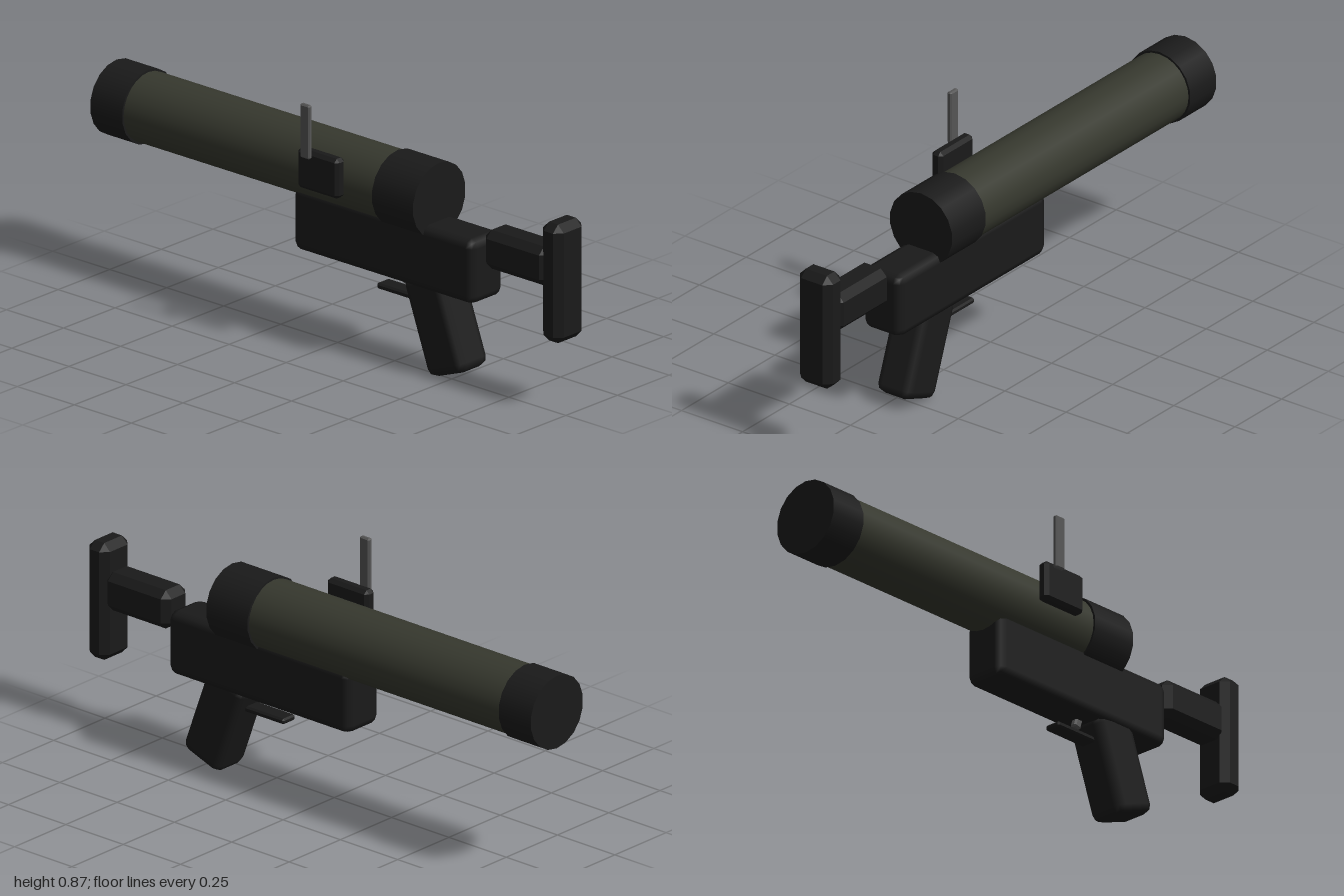
import * as THREE from 'three';
import { ConvexGeometry } from 'three/addons/geometries/ConvexGeometry.js';
import { RoundedBoxGeometry } from 'three/addons/geometries/RoundedBoxGeometry.js';

const AXIS_X = 0.033; // centre line of the launcher
const black = new THREE.MeshStandardMaterial({ color: 0x1a1a1a });
const olive = new THREE.MeshStandardMaterial({ color: 0x36382e });
const steel = new THREE.MeshStandardMaterial({ color: 0x555555 });

// Box with flat 45 degree chamfers: the hull of its six inset faces
function chamferBox(w, h, d, c) {
  const half = [w / 2, h / 2, d / 2];
  const points = [];
  for (let axis = 0; axis < 3; axis++)
    for (const sx of [-1, 1]) for (const sy of [-1, 1]) for (const sz of [-1, 1]) {
      const p = [sx, sy, sz].map((s, i) => s * (half[i] - (i === axis ? 0 : c)));
      points.push(new THREE.Vector3(...p));
    }
  return new ConvexGeometry(points);
}

export function createModel() {
  const group = new THREE.Group();

  const add = (name, geometry, material, x, y, z, tilt = 0) => {
    const mesh = new THREE.Mesh(geometry, material);
    mesh.name = name;
    mesh.position.set(x, y, z);
    mesh.rotation.x = tilt;
    group.add(mesh);
    return mesh;
  };

  // Cylinder lying along z between two depths
  const barrel = (name, radius, z0, z1, sides, material) => {
    const geometry = new THREE.CylinderGeometry(radius, radius, z1 - z0, sides);
    geometry.rotateX(Math.PI / 2);
    add(name, geometry, material, AXIS_X, 0.594, (z0 + z1) / 2);
  };

  // Launch tube and its end collars
  barrel('launchTube', 0.12, -0.9, 0.3, 24, olive);
  barrel('muzzleCollar', 0.128, -1, -0.86, 18, black);
  barrel('rearCollar', 0.128, 0.235, 0.415, 18, black);

  // Receiver and raked pistol grip
  add('receiver', new RoundedBoxGeometry(0.157, 0.225, 0.79, 1, 0.03), black, AXIS_X, 0.408, 0.235);
  add('grip', new RoundedBoxGeometry(0.139, 0.34, 0.17, 1, 0.03), black, AXIS_X, 0.18, 0.444, -0.35);

  // Trigger and guard
  add('trigger', chamferBox(0.025, 0.07, 0.03, 0.006), steel, AXIS_X, 0.3, 0.285, 0.3);
  add('triggerGuard', chamferBox(0.06, 0.02, 0.2, 0.006), black, AXIS_X, 0.24, 0.265);

  // Shoulder stock
  add('stockArm', chamferBox(0.117, 0.135, 0.28, 0.025), black, AXIS_X, 0.497, 0.79);
  add('buttPad', chamferBox(0.136, 0.412, 0.09, 0.025), black, AXIS_X, 0.455, 0.955);

  // Side sight with upright post
  add('sightBlock', chamferBox(0.044, 0.138, 0.18, 0.012), black, -0.125, 0.638, 0.04);
  add('sightPost', chamferBox(0.018, 0.187, 0.042, 0.005), steel, -0.154, 0.779, 0);

  return group;
}
